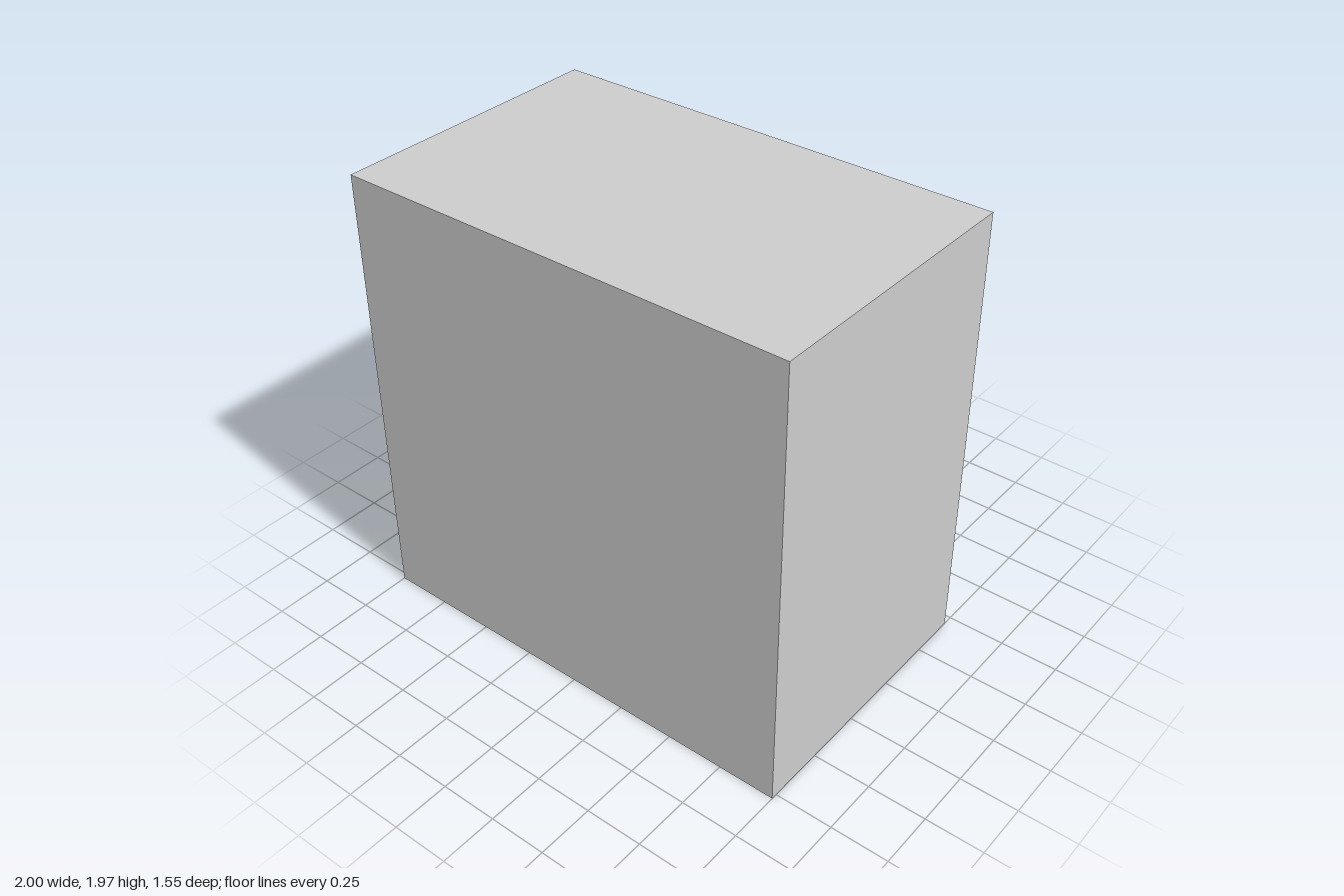
import * as THREE from 'three';

const grey = new THREE.MeshStandardMaterial({ color: 0xcccccc });
grey.name = 'grey metal';

function add(parent, name, geometry, x = 0, y = 0, z = 0) {
  const mesh = new THREE.Mesh(geometry, grey);
  mesh.name = name;
  mesh.position.set(x, y, z);
  parent.add(mesh);
  return mesh;
}

// Label block whose outer (-z) face is smaller than its base
function labelGeometry() {
  const g = new THREE.BoxGeometry(0.295, 0.195, 0.044);
  const p = g.attributes.position;
  for (let i = 0; i < p.count; i++) {
    if (p.getZ(i) < 0) p.setXY(i, p.getX(i) * 0.82, p.getY(i) * 0.8);
  }
  g.computeVertexNormals();
  return g;
}

// Round bar bent into a flat-topped arch
function handleGeometry() {
  const half = [[0.202, 0.01], [0.202, -0.065], [0.165, -0.13], [0.085, -0.164]];
  const mirrored = half.map(([x, z]) => [-x, z]).reverse();
  const points = [...half, ...mirrored].map(([x, z]) => new THREE.Vector3(x, 0, z));
  return new THREE.TubeGeometry(new THREE.CatmullRomCurve3(points), 18, 0.043, 12);
}

export function createModel() {
  const model = new THREE.Group();
  model.name = 'drawerCabinet';

  add(model, 'cabinetBody', new THREE.BoxGeometry(2, 1.965, 1.23), 0, 0.9825, 0.16);

  const thickness = 0.094;
  const panel = new THREE.BoxGeometry(0.905, 0.578, thickness);
  const label = labelGeometry();
  const handle = handleGeometry();

  // Drawer fronts: centre x, centre y, outer face z, forward tilt
  const drawers = [
    [0.483, 1.56, -0.496, 0],
    [0.483, 0.965, -0.542, 0.044],
    [0.483, 0.392, -0.54, 0],
    [-0.487, 1.58, -0.542, 0],
    [-0.487, 0.975, -0.533, 0],
    [-0.487, 0.392, -0.566, 0],
  ];
  drawers.forEach(([x, y, z, tilt], i) => {
    const drawer = new THREE.Group();
    drawer.name = `drawer${i + 1}`;
    drawer.position.set(x, y, z);
    drawer.rotation.x = -tilt;
    add(drawer, 'drawerFront', panel, 0, 0, thickness / 2);
    add(drawer, 'labelHolder', label, 0, 0.135, -0.022);
    add(drawer, 'handle', handle, 0.006, -0.115, 0);
    model.add(drawer);
  });

  return model;
}
